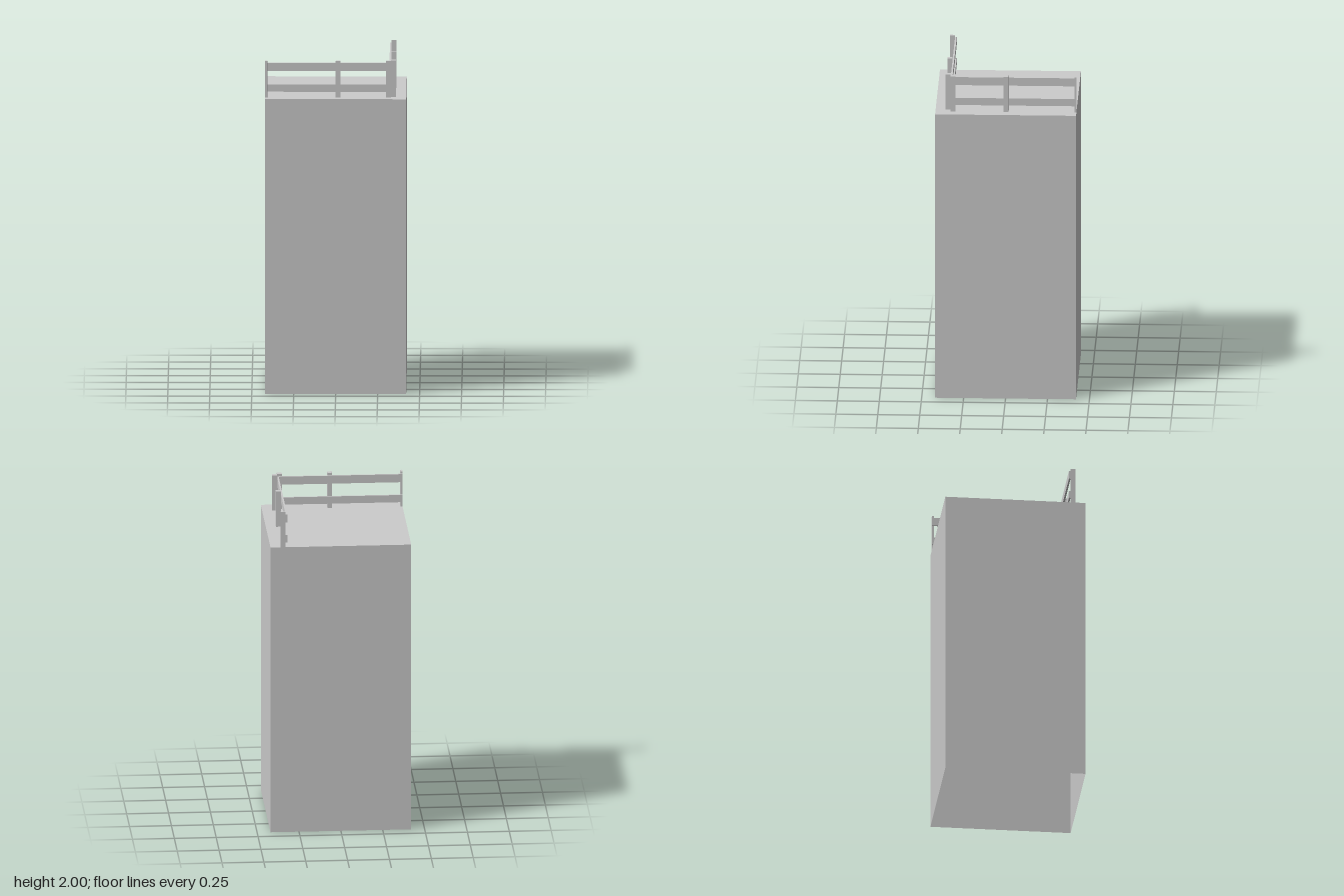
import * as THREE from 'three';

const HALF = 0.42; // half width of the block
const DECK = 1.78; // height of its top
const TOP = 2;

const grey = new THREE.MeshStandardMaterial({ color: 0xcccccc, flatShading: true });
const greyShell = new THREE.MeshStandardMaterial({ color: 0xcccccc, flatShading: true, side: THREE.DoubleSide });

// Box given by its extents along each axis
function box(name, [x0, x1], [y0, y1], [z0, z1]) {
  const mesh = new THREE.Mesh(new THREE.BoxGeometry(x1 - x0, y1 - y0, z1 - z0), grey);
  mesh.position.set((x0 + x1) / 2, (y0 + y1) / 2, (z0 + z1) / 2);
  mesh.name = name;
  return mesh;
}

// Four walls and a top, open underneath
function createBlock() {
  const geometry = new THREE.BoxGeometry(2 * HALF, DECK, 2 * HALF);
  const index = Array.from(geometry.index.array);
  index.splice(18, 6); // drop the bottom face
  geometry.setIndex(index);
  geometry.clearGroups();
  const block = new THREE.Mesh(geometry, greyShell);
  block.position.y = DECK / 2;
  block.name = 'block';
  return block;
}

// One straight fence: posts stand on the outer side of two rails.
// place() turns (along, height, outward) extents into a box.
function createFence(name, posts, railEnd, place) {
  const fence = new THREE.Group();
  fence.name = name;
  for (const span of posts) fence.add(place('post', span, [DECK, TOP], [0.33, 0.36]));
  fence.add(place('lowerRail', [-HALF, railEnd], [1.81, 1.855], [0.32, 0.33]));
  fence.add(place('upperRail', [-HALF, railEnd], [1.935, 1.985], [0.32, 0.33]));
  return fence;
}

export function createModel() {
  const model = new THREE.Group();
  model.name = 'fencedBlock';
  model.add(createBlock());

  // The end posts are cut off flush with the block
  model.add(createFence('frontFence', [[-HALF, -0.408], [0, 0.028], [0.3, 0.33]], 0.33,
    (name, along, height, out) => box(name, along, height, out)));
  model.add(createFence('leftFence', [[-HALF, -0.408], [-0.016, 0.013], [0.3, 0.33]], 0.32,
    (name, along, height, out) => box(name, out, height, along)));
  return model;
}
